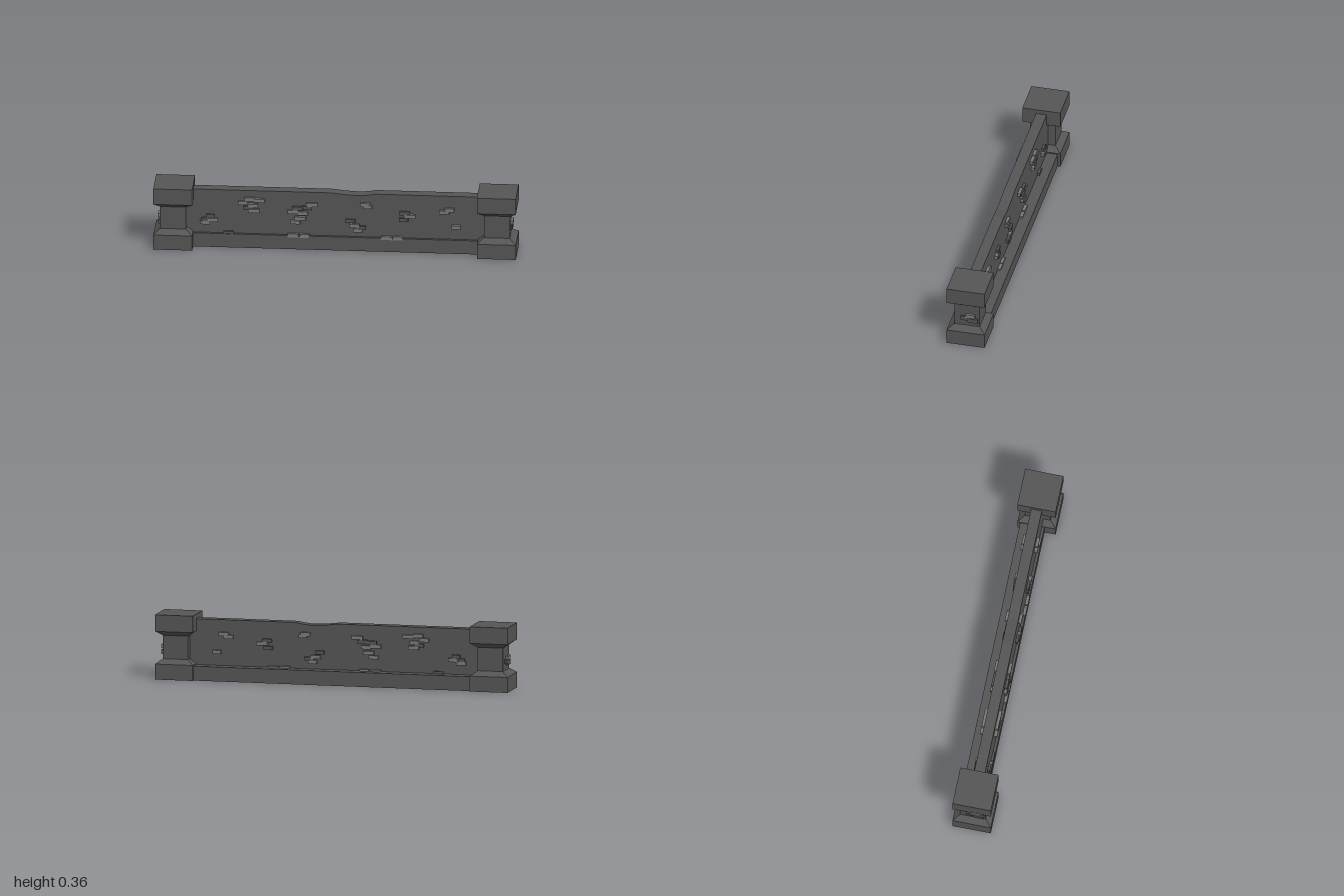
import * as THREE from 'three';

const stone = new THREE.MeshStandardMaterial({ color: 0x555555 });
stone.name = 'darkStone';
const paleStone = new THREE.MeshStandardMaterial({ color: 0x7a7a7a });
paleStone.name = 'paleStone';

// Box given by its minimum and maximum corners
function block(name, min, max, material = stone) {
  const size = max.map((v, i) => v - min[i]);
  const mesh = new THREE.Mesh(new THREE.BoxGeometry(...size), material);
  mesh.position.set(...max.map((v, i) => (v + min[i]) / 2));
  mesh.name = name;
  return mesh;
}

// Square post turned from a stepped profile of [half width, height]
function postGeometry() {
  const profile = [
    [0, 0], [0.1075, 0], [0.1075, 0.086], [0.0715, 0.112],
    [0.0715, 0.242], [0.1075, 0.268], [0.1075, 0.36], [0, 0.36],
  ].map(([r, y]) => new THREE.Vector2(r * Math.SQRT2, y));
  const geometry = new THREE.LatheGeometry(profile, 4, Math.PI / 4).toNonIndexed();
  geometry.computeVertexNormals();
  return geometry;
}

// Raised bricks by cluster: centre x, centre y, width, pale (1) or dark (0)
const clusters = {
  leftEnd: [[-0.69, 0.18, 0.045, 0], [-0.715, 0.16, 0.05, 0], [-0.675, 0.16, 0.055, 1], [-0.72, 0.143, 0.055, 1]],
  upperLeft: [[-0.475, 0.287, 0.055, 1], [-0.42, 0.281, 0.06, 1], [-0.51, 0.265, 0.055, 1],
    [-0.455, 0.25, 0.055, 1], [-0.48, 0.235, 0.055, 0], [-0.45, 0.22, 0.062, 1]],
  middleLeft: [[-0.13, 0.265, 0.062, 1], [-0.16, 0.244, 0.06, 0], [-0.21, 0.24, 0.06, 0],
    [-0.235, 0.22, 0.06, 1], [-0.18, 0.213, 0.055, 1], [-0.195, 0.182, 0.062, 1], [-0.222, 0.159, 0.055, 1]],
  upperMiddle: [[0.163, 0.273, 0.053, 1], [0.178, 0.262, 0.045, 1]],
  lowerMiddle: [[0.083, 0.174, 0.052, 0], [0.105, 0.148, 0.053, 1], [0.142, 0.137, 0.053, 0], [0.123, 0.12, 0.05, 1]],
  right: [[0.382, 0.229, 0.055, 0], [0.41, 0.212, 0.062, 1], [0.376, 0.19, 0.05, 0]],
  rightEnd: [[0.627, 0.256, 0.055, 1], [0.6, 0.242, 0.055, 1], [0.665, 0.155, 0.048, 1]],
  ledge: [[-0.59, 0.084, 0.055, 0], [-0.235, 0.08, 0.06, 1], [-0.17, 0.08, 0.05, 1],
    [0.283, 0.08, 0.06, 1], [0.345, 0.08, 0.053, 1]],
};

export function createModel() {
  const model = new THREE.Group();
  model.name = 'stoneWall';

  // Plinth, deeper at the back
  model.add(block('plinth', [-0.85, 0, -0.092], [0.85, 0.08, 0.045]));

  // Wall slab with a worn dip along its top
  const outline = new THREE.Shape([
    [-0.85, 0.06], [0.85, 0.06], [0.85, 0.335], [0.22, 0.335], [0.19, 0.329],
    [0.14, 0.323], [0.05, 0.327], [-0.02, 0.335], [-0.85, 0.335],
  ].map(([x, y]) => new THREE.Vector2(x, y)));
  const slab = new THREE.Mesh(
    new THREE.ExtrudeGeometry(outline, { depth: 0.06, bevelEnabled: false }), stone);
  slab.position.z = -0.03;
  slab.name = 'wallSlab';
  model.add(slab);

  // Bricks pass right through the wall and stand proud on both sides
  for (const [name, bricks] of Object.entries(clusters)) {
    const group = new THREE.Group();
    group.name = name + 'Bricks';
    bricks.forEach(([x, y, w, pale], i) => {
      const d = (pale ? 0.046 : 0.043) + (i % 3) * 0.001;
      group.add(block('brick', [x - w / 2, y - 0.01, -d], [x + w / 2, y + 0.01, d], pale ? paleStone : stone));
    });
    model.add(group);
  }

  // End posts, each with bricks on its outer face
  const shape = postGeometry();
  for (const [name, turn] of [['leftPost', 0], ['rightPost', Math.PI]]) {
    const group = new THREE.Group();
    group.name = name;
    const post = new THREE.Mesh(shape, stone);
    post.position.x = 0.8925;
    post.name = 'post';
    group.add(post,
      block('postBrick', [0.95, 0.168, -0.047], [0.978, 0.189, 0.008], paleStone),
      block('postBrick', [0.95, 0.148, -0.02], [0.973, 0.173, 0.036]),
      block('postBrick', [0.95, 0.137, -0.063], [0.975, 0.162, -0.005]));
    group.rotation.y = turn;
    model.add(group);
  }
  return model;
}
